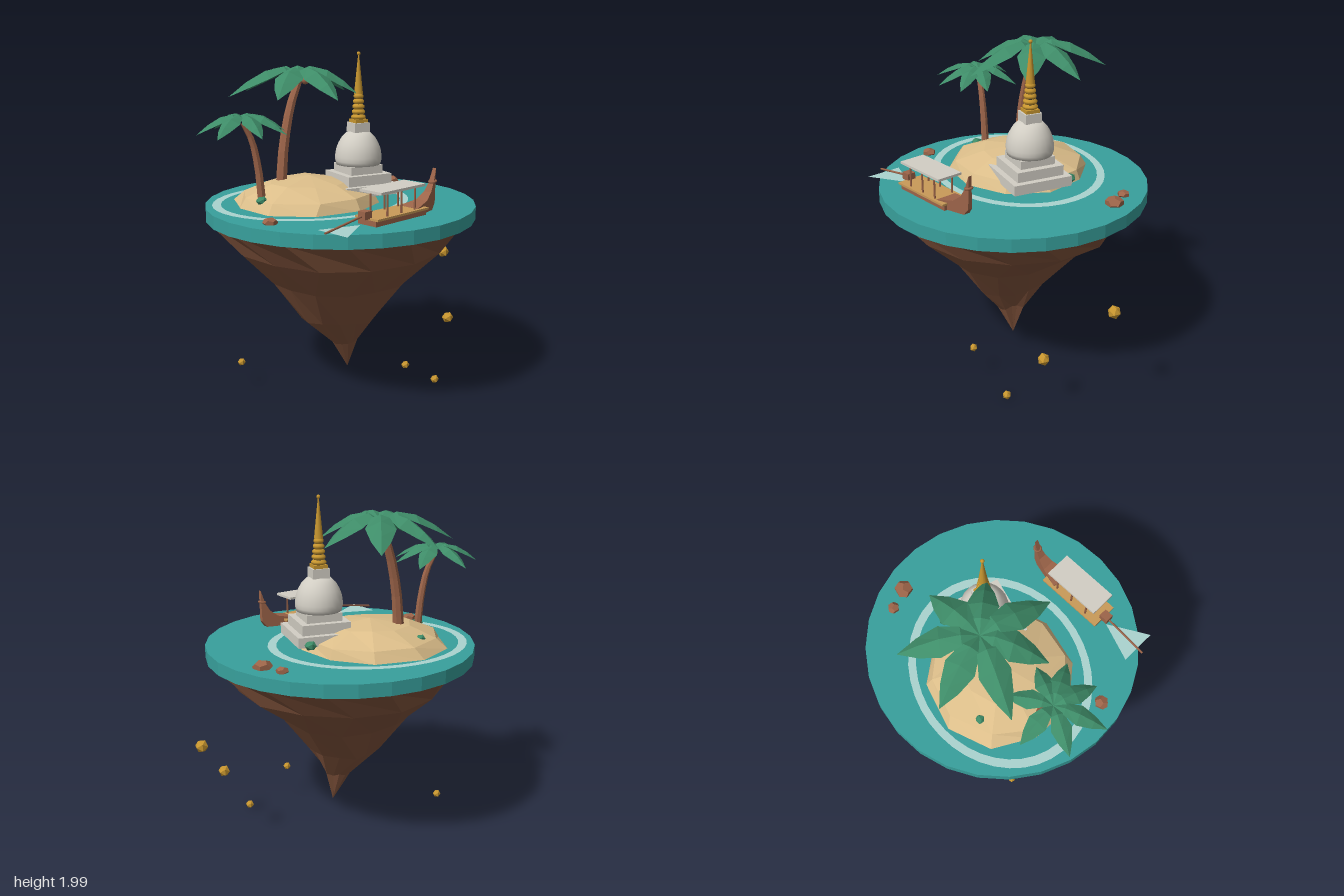
import * as THREE from 'three';

const mat = (name, color, side = THREE.FrontSide) => {
  const m = new THREE.MeshStandardMaterial({ color, side });
  m.name = name;
  return m;
};
const V = (x, y, z) => new THREE.Vector3(x, y, z);

// Small repeatable noise, -1..1
const noise = (a, b) => {
  const s = Math.sin(a * 127.1 + b * 311.7) * 43758.5453;
  return (s - Math.floor(s)) * 2 - 1;
};

// Flat-shaded skin over cross-sections listed bottom to top
function loft(rings, closed = true) {
  const pos = [];
  const n = rings[0].length;
  for (let i = 0; i + 1 < rings.length; i++) {
    for (let j = 0; j < (closed ? n : n - 1); j++) {
      const k = (j + 1) % n;
      const a = rings[i][j], b = rings[i][k], c = rings[i + 1][k], d = rings[i + 1][j];
      for (const p of [a, c, b, a, d, c]) pos.push(p.x, p.y, p.z);
    }
  }
  const g = new THREE.BufferGeometry();
  g.setAttribute('position', new THREE.Float32BufferAttribute(pos, 3));
  g.computeVertexNormals();
  return g;
}

function ring(n, r, cx, y, cz, wobble = 0, seed = 0, twist = 0) {
  return Array.from({ length: n }, (_, j) => {
    const a = (j + twist) / n * Math.PI * 2;
    const q = r * (1 + wobble * noise(j + 1, seed));
    return V(cx + Math.cos(a) * q, y + wobble * 0.12 * noise(j + 4, seed + 9) * (r < 0.5 ? 1 : 0), cz + Math.sin(a) * q);
  });
}

export function createModel() {
  const water = mat('water teal', 0x38a09c);
  const foam = mat('foam', 0xabd4cf, THREE.DoubleSide);
  const rock = mat('earth brown', 0x82543c);
  const wood = mat('warm brown', 0x9c6449);
  const sand = mat('sand', 0xdcbe8a);
  const stone = mat('pale stone', 0xd2cec4);
  const gold = mat('gold', 0xc8962f);
  const green = mat('palm green', 0x3e8c68, THREE.DoubleSide);
  const plank = mat('deck tan', 0xc99a58);

  const root = new THREE.Group();
  const add = (name, geo, m, x = 0, y = 0, z = 0, parent = root) => {
    const mesh = new THREE.Mesh(geo, m);
    mesh.name = name;
    mesh.position.set(x, y, z);
    parent.add(mesh);
    return mesh;
  };
  const flat = (g) => {
    const f = g.index ? g.toNonIndexed() : g;
    f.computeVertexNormals();
    return f;
  };
  const box = (w, h, d) => new THREE.BoxGeometry(w, h, d);

  // Water disc
  add('waterDisc', flat(new THREE.CylinderGeometry(0.783, 0.783, 0.076, 28)), water, -0.035, 1.108, 0);

  // Hanging rock: tip, twisted lower cone, upper collar
  add('lowerRock', loft([
    ring(14, 0.002, 0, 0.12, 0.02),
    ring(14, 0.08, -0.025, 0.31, 0.02, 0.16, 1, 0.9),
    ring(14, 0.215, -0.065, 0.47, 0.02, 0.14, 2, 0.5),
    ring(14, 0.4, -0.06, 0.7, 0.02, 0.08, 3, 0.3),
    ring(14, 0.61, -0.035, 0.897, 0, 0.02, 4),
  ]), rock);
  add('upperRock', loft([
    ring(14, 0.61, -0.035, 0.897, 0, 0.02, 4),
    ring(14, 0.765, -0.035, 1.072, 0, 0.015, 5, 0.5),
  ]), rock);

  // Sand island and foam ring
  add('sandIsland', loft([
    ring(10, 0.415, -0.185, 1.14, -0.107, 0.03, 6),
    ring(10, 0.37, -0.18, 1.205, -0.107, 0.04, 7),
    ring(10, 0.21, -0.18, 1.268, -0.107, 0.05, 8),
    ring(10, 0.001, -0.18, 1.297, -0.107),
  ].map((r) => r.map((p) => V(p.x < -0.3 ? p.x - 0.03 : p.x, p.y, p.z)))), sand);
  const foamRing = add('foamRing', new THREE.RingGeometry(0.537, 0.588, 40), foam, -0.175, 1.15, -0.093);
  foamRing.rotation.x = -Math.PI / 2;
  foamRing.scale.y = 0.85;

  // Domed shrine
  const shrine = new THREE.Group();
  shrine.name = 'shrine';
  shrine.position.set(0.105, 0, -0.037);
  root.add(shrine);
  [[0.355, 1.187, 0.059], [0.285, 1.246, 0.058], [0.21, 1.304, 0.048]].forEach(([w, y, h], i) =>
    add('baseTier' + (i + 1), box(w, h, w), stone, 0, y + h / 2, 0, shrine));
  const lathe = (pts, n) => new THREE.LatheGeometry(pts.map(([r, y]) => new THREE.Vector2(r, y)), n);
  add('dome', lathe([[0, 1.35], [0.13, 1.352], [0.136, 1.375], [0.137, 1.4], [0.131, 1.44], [0.118, 1.475],
    [0.098, 1.51], [0.07, 1.538], [0, 1.555]], 24), stone, 0, 0, 0, shrine);
  add('domeCap', box(0.1, 0.055, 0.1), stone, 0, 1.568, 0, shrine);
  add('spireFoot', box(0.08, 0.02, 0.08), gold, 0, 1.605, 0, shrine);
  for (let i = 0; i < 5; i++) {
    const r = 0.043 - i * 0.0036, y = 1.612 + i * 0.03;
    add('spireRing', lathe([[r * 0.7, y], [r, y + 0.009], [r, y + 0.02], [r * 0.7, y + 0.03]], 14), gold, 0, 0, 0, shrine);
  }
  add('spire', new THREE.CylinderGeometry(0.003, 0.026, 0.225, 12), gold, 0, 1.872, 0, shrine);
  add('finial', new THREE.SphereGeometry(0.011, 10, 8), gold, 0, 1.989, 0, shrine);

  // Palm: curved trunk, folded drooping fronds, coconuts
  function palm(name, path, r0, r1, size, tips, nuts) {
    const g = new THREE.Group();
    g.name = name;
    root.add(g);
    const curve = new THREE.CatmullRomCurve3(path);
    const rings = [];
    for (let i = 0; i <= 7; i++) {
      const p = curve.getPoint(i / 7);
      rings.push(ring(7, r0 + (r1 - r0) * i / 7, p.x, p.y, p.z));
    }
    add('trunk', loft(rings), wood, 0, 0, 0, g);
    const top = path[path.length - 1];
    // distance, height, half width, edge drop
    const section = [[0, 0.035, 0.012, 0.005], [0.22, 0.075, 0.05, 0.018], [0.48, 0.055, 0.083, 0.04],
      [0.75, -0.005, 0.052, 0.03], [1, -0.085, 0.001, 0]];
    for (const [deg, len] of tips) {
      const strip = section.map(([t, h, w, drop]) => [-1, 0, 1].map((s) =>
        V(t * len, (h - Math.abs(s) * drop) * size, s * w * size)));
      const leaf = add('frond', loft(strip, false), green, top.x, top.y, top.z, g);
      leaf.rotation.y = deg * Math.PI / 180;
    }
    for (let i = 0; i < nuts; i++) {
      const a = i / nuts * Math.PI * 2 + 0.5;
      add('coconut', new THREE.SphereGeometry(0.023, 8, 6), wood, top.x + Math.cos(a) * 0.035, top.y - 0.005, top.z + Math.sin(a) * 0.035, g);
    }
  }
  palm('tallPalm', [V(-0.33, 1.2, -0.18), V(-0.305, 1.47, -0.185), V(-0.25, 1.7, -0.2), V(-0.19, 1.84, -0.212)],
    0.034, 0.023, 1, [[69, 0.415], [16, 0.37], [-33, 0.345], [-86, 0.42], [-135, 0.355], [173, 0.42], [121, 0.387]], 3);
  palm('smallPalm', [V(-0.515, 1.17, -0.03), V(-0.535, 1.38, -0.03), V(-0.57, 1.54, -0.03), V(-0.618, 1.635, -0.033)],
    0.024, 0.016, 0.65, [[170, 0.255], [109, 0.245], [44, 0.25], [-10, 0.24], [-47, 0.26], [-90, 0.262], [-139, 0.29]], 0);

  // Long-tail boat
  const boat = new THREE.Group();
  boat.name = 'boat';
  boat.position.set(0, 0, 0.52);
  boat.rotation.y = 0.29;
  root.add(boat);
  add('hull', box(0.4, 0.032, 0.13), wood, 0, 1.162, 0, boat);
  add('deck', box(0.41, 0.012, 0.16), plank, 0, 1.183, 0, boat);
  const side = new THREE.Shape([[0.13, 1.148], [0.31, 1.148], [0.34, 1.185], [0.346, 1.378], [0.32, 1.3], [0.29, 1.25],
    [0.24, 1.212], [0.13, 1.19]].map(([x, y]) => new THREE.Vector2(x, y)));
  const prow = new THREE.ExtrudeGeometry(side, { depth: 1, bevelEnabled: false });
  const p = prow.attributes.position;
  for (let i = 0; i < p.count; i++) {
    const w = THREE.MathUtils.mapLinear(p.getX(i), 0.13, 0.346, 0.13, 0.022);
    p.setZ(i, (p.getZ(i) - 0.5) * w);
  }
  add('prow', flat(prow), wood, 0, 0, 0, boat);
  const garland = add('prowGarland', new THREE.TorusGeometry(0.019, 0.007, 6, 12), wood, 0.332, 1.305, 0, boat);
  garland.rotation.set(Math.PI / 2, 0.2, 0);
  add('canopy', box(0.35, 0.014, 0.155), stone, 0, 1.318, 0, boat);
  for (const x of [-0.11, 0, 0.11]) for (const z of [-0.06, 0.06])
    add('canopyPost', new THREE.CylinderGeometry(0.006, 0.006, 0.13, 6), wood, x, 1.25, z, boat);
  add('engine', box(0.055, 0.042, 0.05), wood, -0.215, 1.205, 0, boat);
  const shaft = add('propellerShaft', new THREE.CylinderGeometry(0.006, 0.006, 0.28, 6), wood, -0.365, 1.18, 0, boat);
  shaft.rotation.z = -Math.PI / 2 + 0.16;
  const wake = add('wake', new THREE.ShapeGeometry(new THREE.Shape([[-0.23, -0.575], [-0.47, -0.56], [-0.41, -0.765]]
    .map(([x, y]) => new THREE.Vector2(x, y)))), foam, 0, 1.152, 0);
  wake.rotation.x = -Math.PI / 2;

  // Boulders in the water
  for (const [x, z, r] of [[0.525, -0.35, 0.056], [0.447, -0.455, 0.036], [-0.62, 0.31, 0.042]]) {
    const b = add('boulder', new THREE.DodecahedronGeometry(r), wood, x, 1.155, z);
    b.scale.y = 0.65;
    b.rotation.y = x * 5;
  }
  // Shrubs on the sand
  for (const [x, y, z, r] of [[0.22, 1.205, -0.235, 0.036], [-0.54, 1.205, 0.02, 0.034], [-0.395, 1.215, -0.335, 0.03]])
    add('shrub', new THREE.IcosahedronGeometry(r), green, x, y, z).scale.y = 0.8;

  // Floating gold nuggets
  for (const [x, y, z, r] of [[0.84, 0.675, -0.185, 0.038], [0.655, 0.352, 0.14, 0.036], [0.195, 0.213, 0.37, 0.024],
    [-0.59, 0.168, -0.23, 0.024], [0.47, 0.028, 0.28, 0.026]])
    add('goldNugget', new THREE.IcosahedronGeometry(r), gold, x, y, z);

  return root;
}
